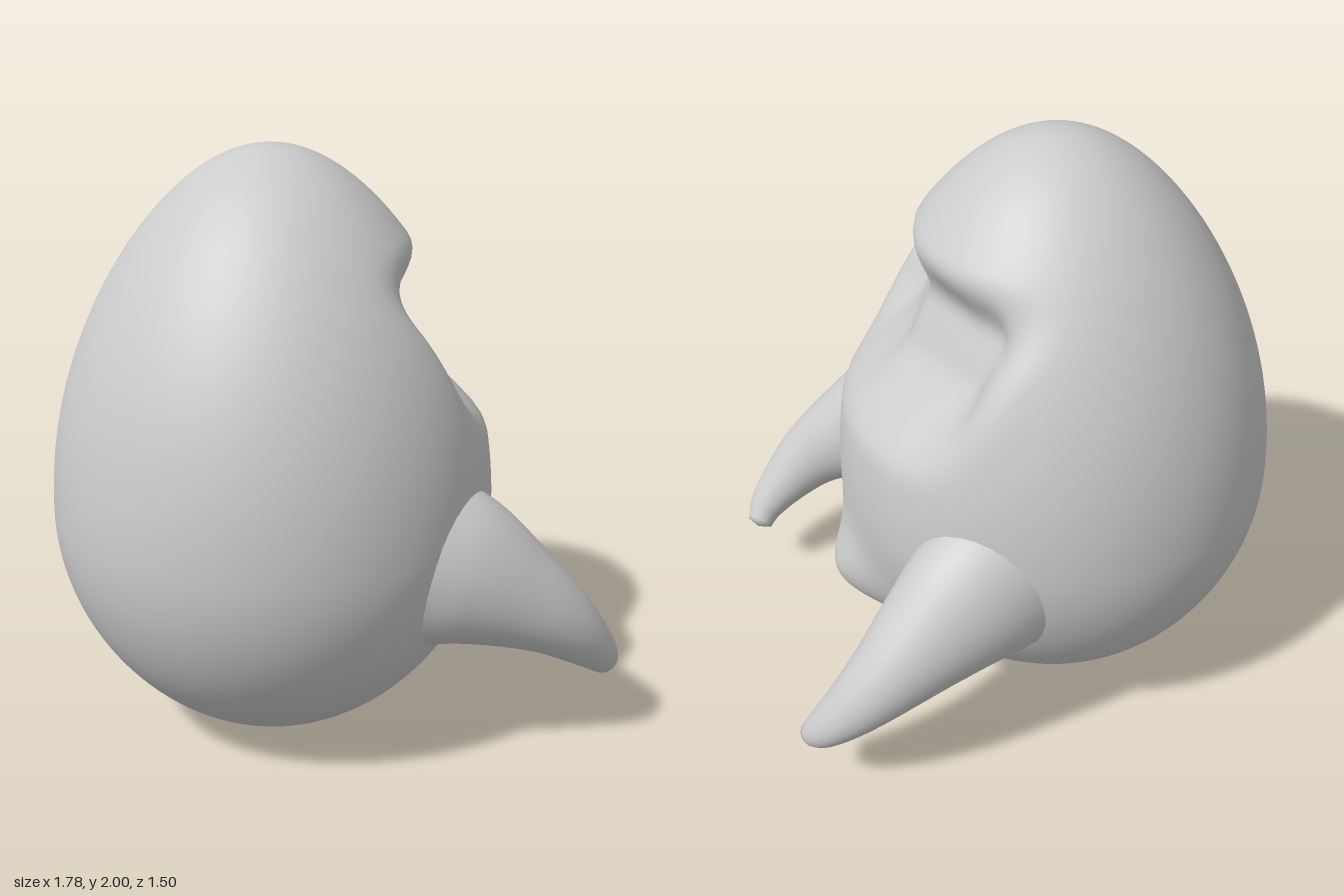
import * as THREE from 'three';
import { mergeVertices } from 'three/addons/utils/BufferGeometryUtils.js';

const { smoothstep } = THREE.MathUtils;
const material = new THREE.MeshStandardMaterial({ color: 0xcccccc, roughness: 0.8 });
const AXIS_X = -0.15;

// Egg body, face sculpted on the +x side
function createBody() {
  let geo = new THREE.SphereGeometry(1, 160, 120);
  geo.deleteAttribute('uv');
  geo.deleteAttribute('normal');
  geo = mergeVertices(geo, 1e-5);
  const pos = geo.attributes.position;
  for (let i = 0; i < pos.count; i++) {
    const c = pos.getY(i);
    const r = 0.74 * (1 - (c > 0 ? 0.15 : 0.06) * c * c);
    const y = 0.8 + c * (c > 0 ? 1.2 : 0.8);
    const z = pos.getZ(i) * r;
    let x = pos.getX(i) * r;
    const front = smoothstep(x, 0.05, 0.25);

    // paired eye hollows with a low ridge between them
    const hollowY = smoothstep(y, 1.05, 1.35) * (1 - smoothstep(y, 1.48, 1.71));
    const hollowZ = 1 - smoothstep(Math.abs(z), 0.3, 0.54);
    const ridge = 1 - 0.22 * Math.exp(-((z / 0.1) ** 2));
    // rounded muzzle bump
    const muzzle = Math.exp(-0.5 * (((y - 0.4) / 0.13) ** 2 + (z / 0.14) ** 2));

    x += front * (0.15 * muzzle - 0.2 * hollowY * hollowZ * ridge);
    pos.setXYZ(i, AXIS_X + x, y, z);
  }
  geo.computeVertexNormals();
  const mesh = new THREE.Mesh(geo, material);
  mesh.name = 'body';
  return mesh;
}

// Tusk stations: x, y, z, half height, half width
const STATIONS = [
  [0.06, 0.74, 0.44, 0.31, 0.23],
  [0.27, 0.68, 0.52, 0.27, 0.21],
  [0.45, 0.585, 0.58, 0.195, 0.17],
  [0.6, 0.485, 0.62, 0.135, 0.13],
  [0.72, 0.38, 0.62, 0.095, 0.1],
  [0.81, 0.29, 0.595, 0.065, 0.07],
  [0.85, 0.235, 0.56, 0.045, 0.045],
];

// Curved tusk lofted from elliptical rings
function createTusk(side, name) {
  const path = new THREE.CatmullRomCurve3(STATIONS.map(([x, y, z]) => new THREE.Vector3(x, y, z * side)));
  const sizes = new THREE.CatmullRomCurve3(STATIONS.map(([, , , h, w]) => new THREE.Vector3(h, w, 0)));
  const rings = 36, sides = 32;
  const verts = [], index = [];
  for (let i = 0; i <= rings; i++) {
    const t = i / rings;
    const p = path.getPoint(t), s = sizes.getPoint(t);
    const dir = path.getTangent(t);
    const u = new THREE.Vector3(0, 0, 1).addScaledVector(dir, -dir.z).normalize();
    const v = new THREE.Vector3().crossVectors(dir, u);
    for (let j = 0; j < sides; j++) {
      const a = (j / sides) * Math.PI * 2;
      const q = p.clone().addScaledVector(u, Math.cos(a) * s.y).addScaledVector(v, Math.sin(a) * s.x);
      verts.push(q.x, q.y, q.z);
      if (i < rings) {
        const k = (j + 1) % sides, A = i * sides, B = A + sides;
        index.push(A + j, A + k, B + j, A + k, B + k, B + j);
      }
    }
  }
  // blunt tip
  const tip = path.getPoint(1).addScaledVector(path.getTangent(1), 0.015);
  const n = verts.length / 3, last = rings * sides;
  verts.push(tip.x, tip.y, tip.z);
  for (let j = 0; j < sides; j++) index.push(last + j, last + ((j + 1) % sides), n);

  const geo = new THREE.BufferGeometry();
  geo.setAttribute('position', new THREE.Float32BufferAttribute(verts, 3));
  geo.setIndex(index);
  geo.computeVertexNormals();
  const mesh = new THREE.Mesh(geo, material);
  mesh.name = name;
  return mesh;
}

export function createModel() {
  const group = new THREE.Group();
  group.name = 'tuskedEgg';
  group.add(createBody(), createTusk(1, 'frontTusk'), createTusk(-1, 'backTusk'));
  return group;
}
